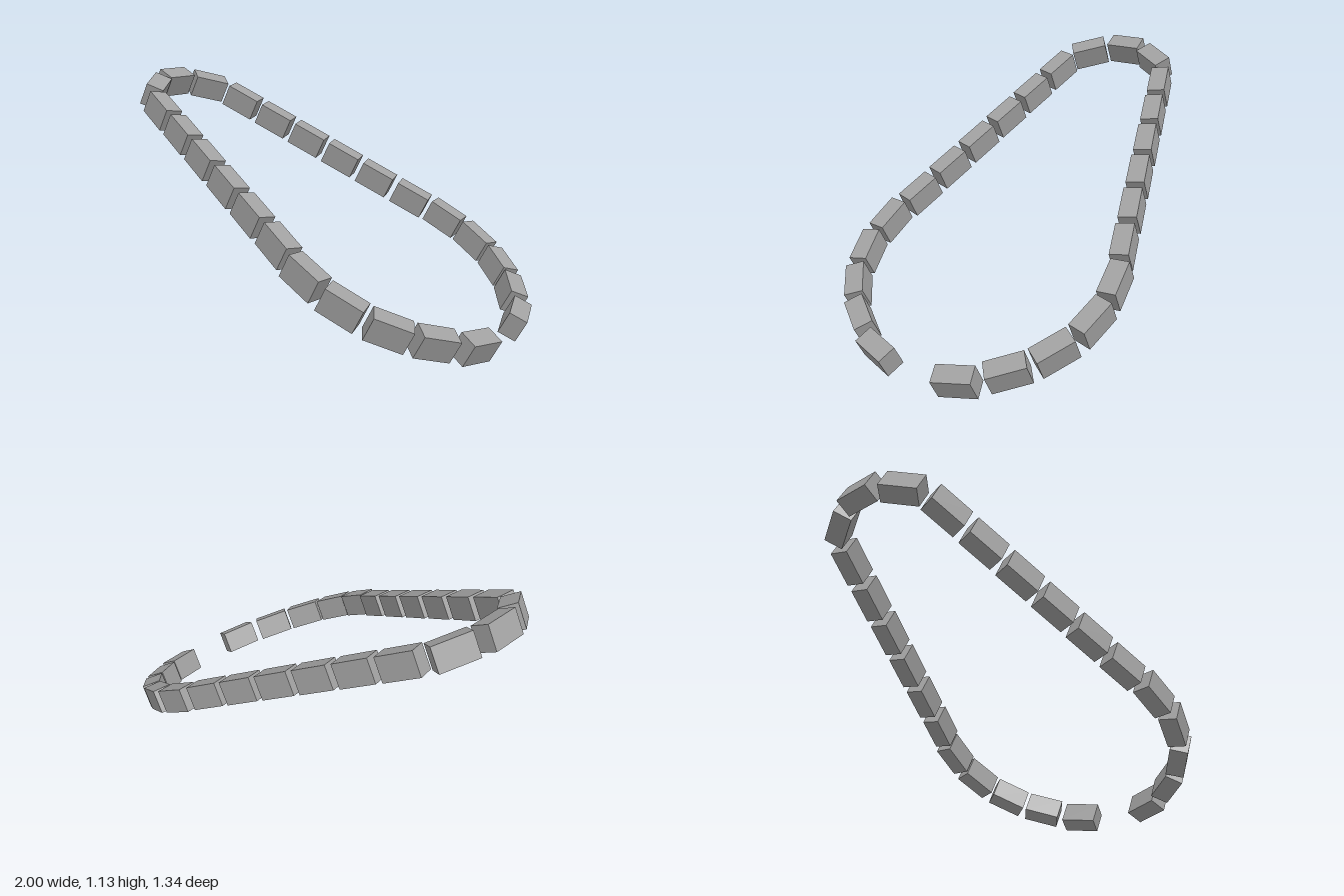
import * as THREE from 'three';

export function createModel() {
  const model = new THREE.Group();
  model.name = 'tiltedBlockTrack';
  const grey = new THREE.MeshStandardMaterial({ color: 0xa0a0a0 });
  grey.name = 'grey';

  // The loop lies flat in this group, which is then tilted down towards +x
  const tilt = THREE.MathUtils.degToRad(27.85);
  const loop = new THREE.Group();
  loop.name = 'blockLoop';
  loop.position.y = 0.567;
  loop.rotation.z = -tilt;
  model.add(loop);

  const block = new THREE.BoxGeometry(0.175, 0.112, 0.086);
  const slide = 0.007; // the whole chain is slid slightly along its path

  function addBlock(name, u, z, angle) {
    const mesh = new THREE.Mesh(block, grey);
    mesh.name = name;
    mesh.position.set(u, 0, z);
    mesh.rotation.y = -angle;
    loop.add(mesh);
  }

  // Half of the chain: [distance along the slope, side offset, heading in degrees]
  const half = [[-0.986, 0.191, 58]];
  for (let i = 0; i < 6; i++) half.push([-0.814 + i * 0.2015, 0.299 + i * 0.0525, 15.5]);
  half.push(
    [0.389, 0.612, 5],
    [0.588, 0.605, -14],
    [0.774, 0.525, -35],
    [0.921, 0.387, -53],
    [1.034, 0.205, -73],
  );

  // Block at the high end, then both mirrored halves
  addBlock('topBlock', -1.053, -slide, Math.PI / 2);
  for (const side of [-1, 1]) {
    half.forEach(([u, z, degrees], i) => {
      const a = THREE.MathUtils.degToRad(degrees);
      const shift = -side * slide;
      addBlock(
        `${side < 0 ? 'back' : 'front'}Block${i + 1}`,
        u + shift * Math.cos(a),
        side * (z + shift * Math.sin(a)),
        side * a,
      );
    });
  }
  return model;
}
